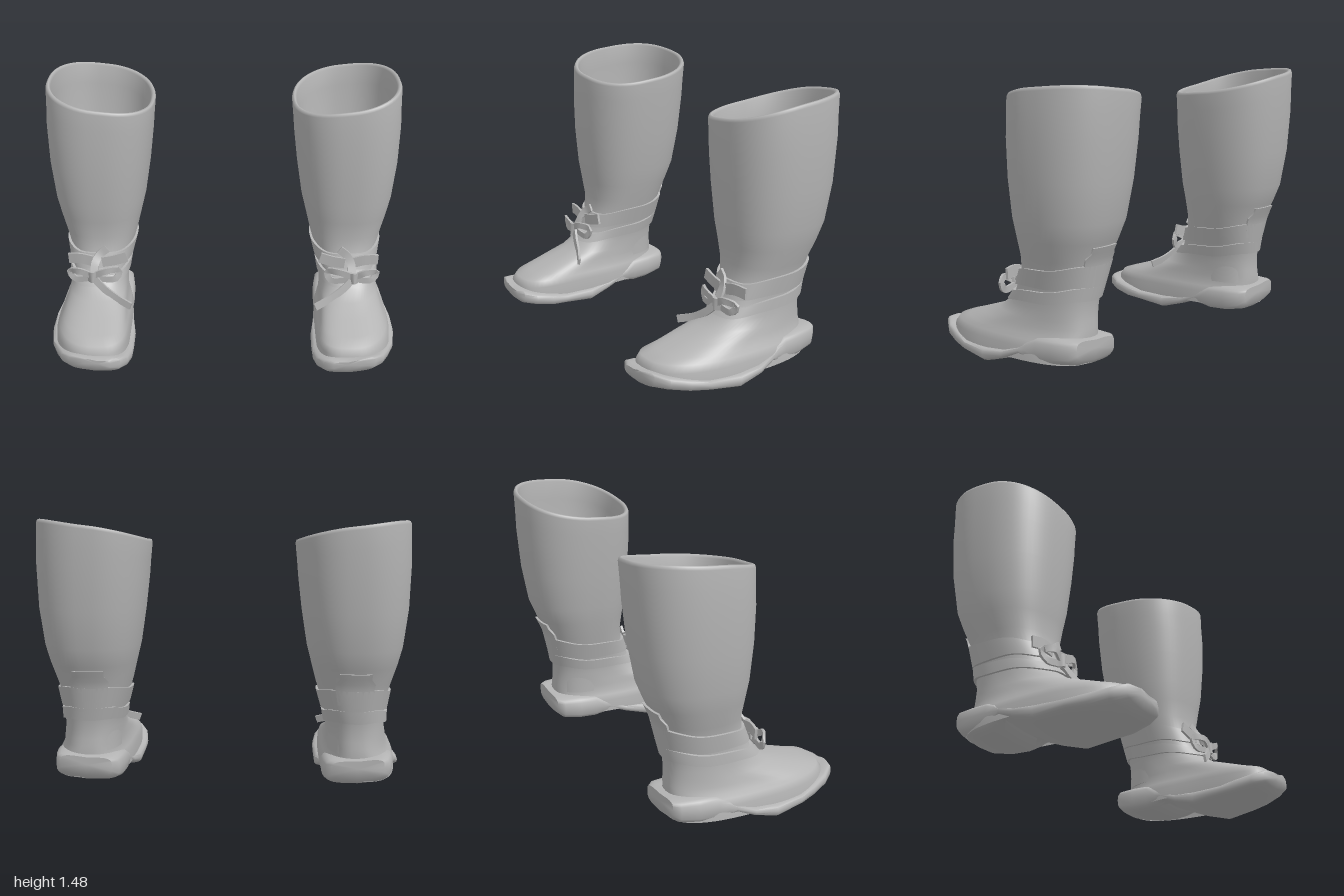
import * as THREE from 'three';
import { toCreasedNormals } from 'three/addons/utils/BufferGeometryUtils.js';

const leather = new THREE.MeshStandardMaterial({ color: 0xb4b4b4, side: THREE.DoubleSide });
leather.name = 'grey leather';

// Horizontal boot sections: y, inner x, outer x, widest z, front z, back z, squareness, toe skew
const SECTIONS = [
  [0.08, 0.53, 0.95, 0.10, 0.55, -0.41, 2.8, 0.05],
  [0.15, 0.53, 0.945, 0.10, 0.545, -0.405, 2.8, 0.05],
  [0.185, 0.54, 0.93, 0.10, 0.52, -0.4, 2.8, 0.05],
  [0.21, 0.55, 0.915, 0.08, 0.44, -0.4, 2.7, 0.04],
  [0.25, 0.555, 0.90, 0.02, 0.32, -0.4, 2.6, 0.03],
  [0.29, 0.56, 0.89, -0.08, 0.20, -0.395, 2.5, 0.02],
  [0.34, 0.56, 0.88, -0.13, 0.12, -0.395, 2.4, 0],
  [0.40, 0.555, 0.88, -0.15, 0.07, -0.4, 2.4, 0],
  [0.50, 0.53, 0.88, -0.18, 0.025, -0.42, 2.4, 0],
  [0.60, 0.50, 0.91, -0.2, 0.012, -0.44, 2.4, 0],
  [0.70, 0.475, 0.94, -0.22, 0.025, -0.485, 2.4, 0],
  [0.80, 0.45, 0.965, -0.23, 0.04, -0.525, 2.4, 0],
  [1.00, 0.42, 0.99, -0.24, 0.055, -0.56, 2.4, 0],
  [1.20, 0.40, 0.998, -0.24, 0.06, -0.58, 2.4, 0],
  [1.41, 0.385, 0.99, -0.24, 0.055, -0.588, 2.4, 0],
];
const SEG = 56;
const spow = (v, p) => Math.sign(v) * Math.abs(v) ** p;

// Point on the boot wall at a height and angle, pushed outwards by off
function wall(y, a, off = 0) {
  let k = 0;
  while (k < SECTIONS.length - 2 && y > SECTIONS[k + 1][0]) k++;
  const A = SECTIONS[k], B = SECTIONS[k + 1];
  const t = THREE.MathUtils.clamp((y - A[0]) / (B[0] - A[0]), 0, 1);
  const [, xi, xo, zc, zf, zb, n, skew] = A.map((v, i) => v + (B[i] - v) * t);
  const c = spow(Math.cos(a), 2 / n), s = spow(Math.sin(a), 2 / n);
  const depth = (s > 0 ? zf - zc : zc - zb) + off;
  const tilt = THREE.MathUtils.smoothstep(y, 0.9, 1.41);
  return new THREE.Vector3(
    (xi + xo) / 2 + c * ((xo - xi) / 2 + off) - (s > 0 ? skew * s * s : 0),
    y + tilt * (0.05 * Math.cos(a) - 0.045 * Math.sin(a)),
    zc + s * depth);
}
const ring = (f, n = SEG) => Array.from({ length: n }, (_, i) => f((i / n) * Math.PI * 2));

// Skin closed rings into a surface; side = -1 builds the mirrored copy
function loft(rings, side, { capStart = false, capEnd = false, crease = 0 } = {}) {
  const n = rings[0].length, pos = [], idx = [];
  const add = (p) => pos.push(p.x * side, p.y, p.z);
  const tri = (a, b, c) => (side > 0 ? idx.push(a, b, c) : idx.push(a, c, b));
  rings.forEach((r) => r.forEach(add));
  for (let j = 0; j < rings.length - 1; j++) {
    for (let i = 0; i < n; i++) {
      const a = j * n + i, b = j * n + (i + 1) % n;
      tri(a, a + n, b);
      tri(b, a + n, b + n);
    }
  }
  const cap = (j, end) => {
    const mid = new THREE.Vector3();
    rings[j].forEach((p) => mid.addScaledVector(p, 1 / n));
    const base = pos.length / 3;
    add(mid);
    rings[j].forEach(add);
    for (let i = 0; i < n; i++) {
      const a = base + 1 + i, b = base + 1 + (i + 1) % n;
      end ? tri(base, b, a) : tri(base, a, b);
    }
  };
  if (capStart) cap(0, false);
  if (capEnd) cap(rings.length - 1, true);
  const g = new THREE.BufferGeometry();
  g.setAttribute('position', new THREE.Float32BufferAttribute(pos, 3));
  g.setIndex(idx);
  g.computeVertexNormals();
  return crease ? toCreasedNormals(g, crease) : g;
}

// Sole and heel stations: z, inner x, outer x, bottom y, top y
const SOLE = [
  [0.59, 0.60, 0.75, 0.09, 0.14], [0.565, 0.55, 0.83, 0.065, 0.15], [0.5, 0.515, 0.88, 0.05, 0.13],
  [0.4, 0.5, 0.92, 0.03, 0.11], [0.3, 0.5, 0.955, 0.025, 0.09], [0.13, 0.505, 0.98, 0.005, 0.09],
  [0, 0.525, 0.975, 0.045, 0.1], [-0.1, 0.535, 0.95, 0.085, 0.13], [-0.14, 0.535, 0.94, 0.06, 0.17],
  [-0.2, 0.535, 0.93, 0.045, 0.2], [-0.3, 0.54, 0.92, 0.05, 0.205], [-0.4, 0.555, 0.9, 0.07, 0.205],
  [-0.435, 0.59, 0.87, 0.1, 0.2],
];

// Flat strap ribbon along a smooth path, facing the front
function ribbon(points, width, side) {
  const curve = new THREE.CatmullRomCurve3(points.map((p) => new THREE.Vector3(...p)));
  const rings = [];
  for (let j = 0; j <= 14; j++) {
    const p = curve.getPointAt(j / 14), t = curve.getTangentAt(j / 14);
    const n = new THREE.Vector3(-t.y, t.x, 0).normalize();
    const b = new THREE.Vector3().crossVectors(n, t);
    rings.push([[1, 1], [-1, 1], [-1, -1], [1, -1]].map(([u, v]) =>
      p.clone().addScaledVector(n, u * width / 2).addScaledVector(b, v * 0.007)));
  }
  return loft(rings, side, { capStart: true, capEnd: true, crease: 0.7 });
}

function makeBoot(side) {
  const boot = new THREE.Group();
  const part = (name, geometry) => {
    const m = new THREE.Mesh(geometry, leather);
    m.name = name;
    boot.add(m);
  };

  // Outer wall, rolled rim, lining and insole in one skin
  const levels = SECTIONS.map((s) => [s[0], 0]);
  levels.splice(-1, 1, [1.3, 0], [1.395, 0.002], [1.41, -0.004], [1.413, -0.014], [1.4, -0.026],
    [1.3, -0.03], [1.1, -0.03], [0.8, -0.03], [0.6, -0.03], [0.45, -0.025]);
  const rings = levels.map(([y, off]) => ring((a) => wall(y, a, off)));
  rings.push(ring((a) => wall(0.45, a, -0.025).setY(0.22)));
  part('upper', loft(rings, side, { capEnd: true }));

  // Sole with raised toe and stepped heel, tilted up towards the outside
  const sole = SOLE.map(([z, xi, xo, yb, yt]) => ring((a) => {
    const c = spow(Math.cos(a), 0.5), s = spow(Math.sin(a), 0.5);
    return new THREE.Vector3((xi + xo) / 2 + c * (xo - xi) / 2,
      (yb + yt) / 2 + s * (yt - yb) / 2 + (c > 0 ? 0.02 * c : 0), z);
  }, 24));
  part('sole', loft(sole, side, { capStart: true, capEnd: true, crease: 0.9 }));

  // Ankle straps: front bottom, front top, rise at back bottom, rise at back top
  [['upperAnkleStrap', 0.435, 0.515, 0.035, 0.07], ['lowerAnkleStrap', 0.345, 0.395, 0.055, 0.075]]
    .forEach(([name, y0, y1, r0, r1]) => {
      const edge = (y, rise, off) => ring((a) =>
        wall(y + rise * (1 - Math.sin(a)) / 2 + 0.004 * Math.sin(5 * a), a, off));
      part(name, loft([edge(y0, r0, -0.004), edge(y0, r0, 0.014), edge(y1, r1, 0.014), edge(y1, r1, -0.004)],
        side, { crease: 0.7 }));
    });

  // Back tab rising above the strap
  const tab = [];
  for (let j = 0; j <= 6; j++) {
    const y = 0.5 + 0.18 * j / 6;
    const w = j > 4 ? 0.3 : 0.42;
    const row = (off) => Array.from({ length: 7 }, (_, i) =>
      wall(y, -Math.PI / 2 + w * (i / 3 - 1), off));
    tab.push([...row(0.014), ...row(-0.004).reverse()]);
  }
  part('backTab', loft(tab, side, { capStart: true, capEnd: true, crease: 0.7 }));

  // Tied bow: two loops, knot and loose ends
  part('innerLoop', ribbon([[0.73, 0.42, 0.12], [0.66, 0.45, 0.13], [0.59, 0.44, 0.09], [0.61, 0.39, 0.1], [0.73, 0.4, 0.11]], 0.035, side));
  part('outerLoop', ribbon([[0.75, 0.42, 0.12], [0.81, 0.45, 0.13], [0.87, 0.43, 0.09], [0.84, 0.39, 0.1], [0.75, 0.4, 0.11]], 0.035, side));
  part('knot', ribbon([[0.715, 0.41, 0.11], [0.74, 0.413, 0.135], [0.765, 0.41, 0.11]], 0.065, side));
  part('longEnd', ribbon([[0.73, 0.4, 0.12], [0.68, 0.35, 0.14], [0.6, 0.3, 0.17], [0.52, 0.27, 0.21]], 0.04, side));
  part('upperEnd', ribbon([[0.73, 0.42, 0.11], [0.725, 0.48, 0.075], [0.7, 0.52, 0.05], [0.66, 0.55, 0.04]], 0.045, side));
  part('innerEnd', ribbon([[0.69, 0.475, 0.06], [0.62, 0.485, 0.055], [0.55, 0.505, 0.05]], 0.06, side));
  part('outerEnd', ribbon([[0.74, 0.48, 0.06], [0.81, 0.495, 0.055], [0.88, 0.49, 0.04]], 0.06, side));
  return boot;
}

export function createModel() {
  const group = new THREE.Group();
  group.name = 'boots';
  [['leftBoot', 1], ['rightBoot', -1]].forEach(([name, side]) => {
    const boot = makeBoot(side);
    boot.name = name;
    group.add(boot);
  });
  return group;
}
